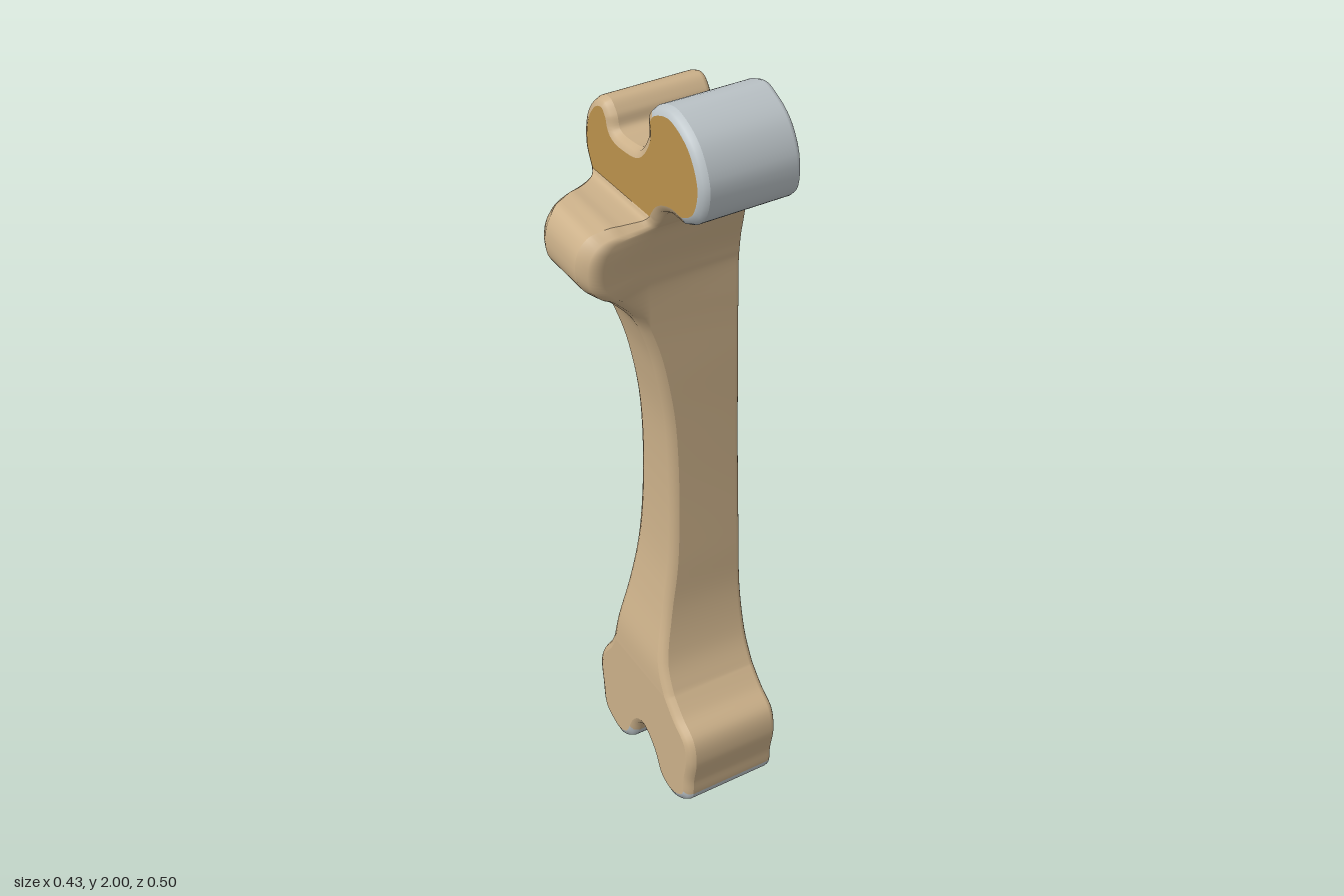
import * as THREE from 'three';
import { mergeGeometries } from 'three/addons/utils/BufferGeometryUtils.js';

const mat = (name, color, side = THREE.FrontSide) => {
  const m = new THREE.MeshStandardMaterial({ color, side });
  m.name = name;
  return m;
};
const CUT = 0.21; // x of the sawn face
const lerp = THREE.MathUtils.lerp, clamp = THREE.MathUtils.clamp;

// Shaft rows: y, front z, back z, outer x (the knob is where outer x is far out)
const SHAFT = [
  [0.34, 0.125, -0.156, -0.05], [0.42, 0.085, -0.143, -0.044], [0.55, 0.056, -0.131, -0.015],
  [0.7, 0.046, -0.123, 0.008], [0.9, 0.034, -0.12, 0.017], [1.1, 0.025, -0.124, 0.012],
  [1.25, 0.02, -0.131, -0.01], [1.35, 0.016, -0.143, -0.035], [1.43, 0.014, -0.154, -0.07],
  [1.5, 0.012, -0.163, -0.135], [1.53, 0.014, -0.17, -0.18], [1.57, 0.018, -0.176, -0.212],
  [1.62, 0.028, -0.186, -0.215], [1.655, 0.035, -0.196, -0.2], [1.673, 0.042, -0.205, -0.165],
  [1.678, 0.045, -0.208, -0.11], [1.685, 0.05, -0.212, -0.062], [1.7, 0.06, -0.222, -0.05],
];
// Ends as [z, y]: upper end from back to front, lower end from front to back
const UPPER = [
  [-0.222, 1.7], [-0.246, 1.757], [-0.238, 1.83], [-0.2, 1.885], [-0.155, 1.9], [-0.126, 1.875],
  [-0.112, 1.843], [-0.07, 1.838], [-0.01, 1.85], [0.027, 1.9], [0.027, 1.947], [0.06, 1.983],
  [0.13, 2.0], [0.21, 1.96], [0.253, 1.88], [0.238, 1.8], [0.185, 1.758], [0.13, 1.755], [0.085, 1.735], [0.06, 1.7],
];
const LOWER = [
  [0.125, 0.34], [0.167, 0.296], [0.22, 0.254], [0.235, 0.19], [0.224, 0.116], [0.215, 0.045],
  [0.15, 0.006], [0.085, 0.025], [0.045, 0.09], [0, 0.127], [-0.035, 0.1], [-0.07, 0.03],
  [-0.13, 0.003], [-0.205, 0.04], [-0.222, 0.116], [-0.23, 0.19], [-0.21, 0.25], [-0.175, 0.3], [-0.156, 0.34],
];

const curve = (pts) => new THREE.SplineCurve(pts.map(([a, b]) => new THREE.Vector2(a, b)));
const spread = (c, n) => Array.from({ length: n + 1 }, (_, i) => c.getPoint(i / n));

// Closed outline, counterclockwise seen from the cut side
function makeOutline() {
  const n = 85;
  const [front, back, outer] = [1, 2, 3].map((k) => spread(curve(SHAFT.map((r) => [r[k], r[0]])), n));
  const pts = [];
  const add = (p, x) => pts.push({ z: p.x, y: p.y, xl: x });
  spread(curve(UPPER), 114).slice(0, -1).forEach((p) => add(p, -0.05));
  const a = pts.length;
  for (let i = n; i >= 0; i--) add(front[i], outer[i].x);
  const b = pts.length - 1;
  spread(curve(LOWER), 108).slice(1, -1).forEach((p) => add(p, -0.05));
  const c = pts.length;
  for (let i = 0; i < n; i++) add(back[i], outer[i].x);
  const N = pts.length;
  pts.forEach((p, i) => {
    const s = pts[(i + N - 1) % N], t = pts[(i + 1) % N];
    const dz = t.z - s.z, dy = t.y - s.y, l = Math.hypot(dz, dy) || 1;
    p.nz = dy / l; // inward normal
    p.ny = -dz / l;
    p.knob = clamp((-0.05 - p.xl) / 0.15, 0, 1);
    p.r = 0.02 + 0.025 * p.knob;
  });
  return { pts, a, b, c, n };
}

// Place an outline point at depth x; the ball end tapers slightly toward the cut
function place(p, x, inset, knob = 0) {
  const side = lerp(p.z, p.z > -0.08 ? 0.052 : -0.17, knob);
  const z = side + p.nz * inset, y = p.y + p.ny * inset;
  const t = clamp((x + 0.05) / 0.26, 0, 1) * clamp((y - 1.74) / 0.12, 0, 1) * clamp(z / 0.15, 0, 1);
  return [x, y - 0.014 * t, z - 0.022 * t];
}

function meshOf(name, pos, groups, mats) {
  const g = new THREE.BufferGeometry();
  g.setAttribute('position', new THREE.Float32BufferAttribute(pos.flat(), 3));
  g.setIndex(groups.flat());
  let start = 0;
  groups.forEach((ix, k) => { g.addGroup(start, ix.length, k); start += ix.length; });
  g.computeVertexNormals();
  const m = new THREE.Mesh(g, mats.length > 1 ? mats : mats[0]);
  m.name = name;
  return m;
}

// Triangulate points in the z-y plane, facing +x (dir 1) or -x (dir -1)
function fill(pos, ids, holeIds, dir) {
  const v = (i) => new THREE.Vector2(-pos[i][2], pos[i][1]);
  const all = [...ids, ...holeIds];
  const tris = THREE.ShapeUtils.triangulateShape(ids.map(v), holeIds.length ? [holeIds.map(v)] : []);
  return tris.flatMap((t) => {
    const f = t.map((k) => all[k]);
    return THREE.ShapeUtils.area(f.map(v)) * dir < 0 ? f.reverse() : f;
  });
}

export function createModel() {
  const model = new THREE.Group();
  model.name = 'bone';
  const bone = mat('bone', 0xcbb089), cartilage = mat('cartilage', 0xbcc4c8);
  const spongy = mat('spongyBone', 0xba914c), marrow = mat('marrow', 0xb48a46, THREE.DoubleSide);
  const pore = mat('pore', 0x7a6036), blood = mat('blood', 0x8a1818);
  const { pts, a, b, c, n } = makeOutline();
  const N = pts.length;

  // Outer wall with rounded edges; cartilage covers the ball and the knuckles
  const rings = [
    (p) => place(p, CUT, 0.009),
    (p) => place(p, CUT - 0.004, 0.003),
    (p) => place(p, CUT - 0.014, 0),
    (p) => place(p, Math.max(p.xl + p.r, -0.03), 0),
    (p) => place(p, p.xl + p.r, 0, p.knob),
    (p) => place(p, p.xl + p.r * 0.3, p.r * 0.3, p.knob),
    (p) => place(p, p.xl, p.r, p.knob),
  ];
  const wall = rings.flatMap((f) => pts.map(f));
  const tan = [], grey = [];
  for (let j = 0; j < rings.length - 1; j++) for (let i = 0; i < N; i++) {
    const k = (i + 1) % N, p = pts[i];
    const ball = (p.y > 1.757 && p.z > 0.15) || (p.y > 1.965 && p.z > 0);
    const q = [j * N + i, (j + 1) * N + i, j * N + k, j * N + k, (j + 1) * N + i, (j + 1) * N + k];
    (ball || p.y < 0.07 ? grey : tan).push(...q);
  }
  model.add(meshOf('outerWall', wall, [tan, grey], [bone, cartilage]));

  // Far side: flat ends and the curved shaft with its knob
  const side = pts.map(rings[rings.length - 1]);
  const range = (s, e) => Array.from({ length: e - s + 1 }, (_, i) => (s + i) % N);
  const strip = [];
  for (let i = 0; i < n; i++) {
    const f0 = a + i, f1 = f0 + 1, b0 = (c + n - i) % N, b1 = c + n - i - 1;
    strip.push(f0, b0, f1, f1, b0, b1);
  }
  model.add(meshOf('farSideShaft', side, [strip], [bone]));
  model.add(meshOf('farSideLowerEnd', side, [fill(side, range(b, c), [], -1)], [bone]));
  model.add(meshOf('farSideUpperEnd', side, [fill(side, range(0, a), [], -1)], [spongy]));

  // Rim of hard bone around the cut
  const rim = [...pts.map(rings[0]), ...pts.map((p) => place(p, CUT, 0.022))];
  const rimIx = [];
  for (let i = 0; i < N; i++) {
    const k = (i + 1) % N;
    rimIx.push(i, k, N + i, k, N + k, N + i);
  }
  model.add(meshOf('cutRim', rim, [rimIx], [bone]));

  // Marrow trough with rounded ends
  const U = 48, V = 12, trough = [], troughIx = [];
  for (let i = 0; i <= U; i++) {
    const s = -Math.cos((Math.PI * i) / U), h = Math.max(0.03, Math.sqrt(1 - Math.abs(s) ** 14));
    const t = (s + 1) / 2;
    for (let j = 0; j <= V; j++) {
      const w = (Math.PI * j) / V;
      trough.push([CUT - 0.075 * h * Math.sin(w), lerp(0.385, 1.595, t), lerp(-0.022, -0.08, t) + 0.044 * h * Math.cos(w)]);
      if (i < U && j < V) {
        const q = i * (V + 1) + j, r = q + V + 1;
        troughIx.push(q, q + 1, r, q + 1, r + 1, r);
      }
    }
  }
  model.add(meshOf('marrowCavity', trough, [troughIx], [marrow]));

  // Cut face around the trough
  const face = pts.map((p) => place(p, CUT, 0.022));
  const hole = [];
  for (let i = 0; i <= U; i++) hole.push(trough[i * (V + 1)]);
  for (let i = U; i >= 0; i--) hole.push(trough[i * (V + 1) + V]);
  const facePos = [...face, ...hole];
  model.add(meshOf('cutFace', facePos, [fill(facePos, range(0, N - 1), hole.map((_, i) => N + i), 1)], [spongy]));

  // Pores scattered over the spongy regions
  let seed = 7;
  const rnd = () => (seed = (seed * 16807) % 2147483647) / 2147483647;
  const regions = [
    { z: 0, y: 0.235, w: 0.185, h: 0.13, r: 0.011, count: 130, ok: (z, y) => Math.hypot(z, y - 0.1) > 0.065 },
    { z: -0.09, y: 1.735, w: 0.105, h: 0.105, r: 0.011, count: 60, ok: (z, y) => Math.abs(z + 0.09) < 0.04 + (y - 1.62) * 0.6 },
    { z: 0.12, y: 1.865, w: 0.06, h: 0.05, r: 0.006, count: 14, ok: () => true },
    { z: -0.14, y: 0.11, w: 0.05, h: 0.03, r: 0.006, count: 12, ok: () => true },
  ];
  const discs = [], used = [];
  for (const g of regions) for (let tries = 0, made = 0; tries < 1500 && made < g.count; tries++) {
    const dz = rnd() * 2 - 1, dy = rnd() * 2 - 1, z = g.z + dz * g.w, y = g.y + dy * g.h;
    const r = g.r * (0.65 + 0.5 * rnd());
    if (dz * dz + dy * dy > 1 || !g.ok(z, y)) continue;
    if (used.some((o) => Math.hypot(o.z - z, o.y - y) < o.r + r + 0.003)) continue;
    used.push({ z, y, r });
    made++;
    discs.push(new THREE.CircleGeometry(r, 7).scale(1, 0.75 + 0.25 * rnd(), 1).rotateZ(rnd() * 3)
      .rotateY(Math.PI / 2).translate(CUT + 0.001, y, z));
  }
  const pores = new THREE.Mesh(mergeGeometries(discs), pore);
  pores.name = 'pores';
  model.add(pores);

  // Small blood vessel entering the back of the shaft
  const vessel = new THREE.Group();
  vessel.name = 'bloodVessel';
  const root = new THREE.Mesh(new THREE.SphereGeometry(0.014, 10, 8).scale(0.8, 0.9, 1.9), blood);
  root.name = 'vesselRoot';
  root.position.set(0.201, 0.935, -0.108);
  vessel.add(root);
  const tips = [[0.2, 0.875, -0.135], [0.185, 0.905, -0.145], [0.195, 0.927, -0.158], [0.175, 0.945, -0.152], [0.202, 0.953, -0.13]];
  tips.forEach(([x, y, z]) => {
    const path = new THREE.QuadraticBezierCurve3(new THREE.Vector3(0.2, 0.935, -0.11),
      new THREE.Vector3(x, 0.937, (z - 0.115) / 2), new THREE.Vector3(x, y, z));
    const m = new THREE.Mesh(new THREE.TubeGeometry(path, 8, 0.004, 6), blood);
    m.name = 'vesselBranch';
    vessel.add(m);
  });
  model.add(vessel);
  return model;
}
